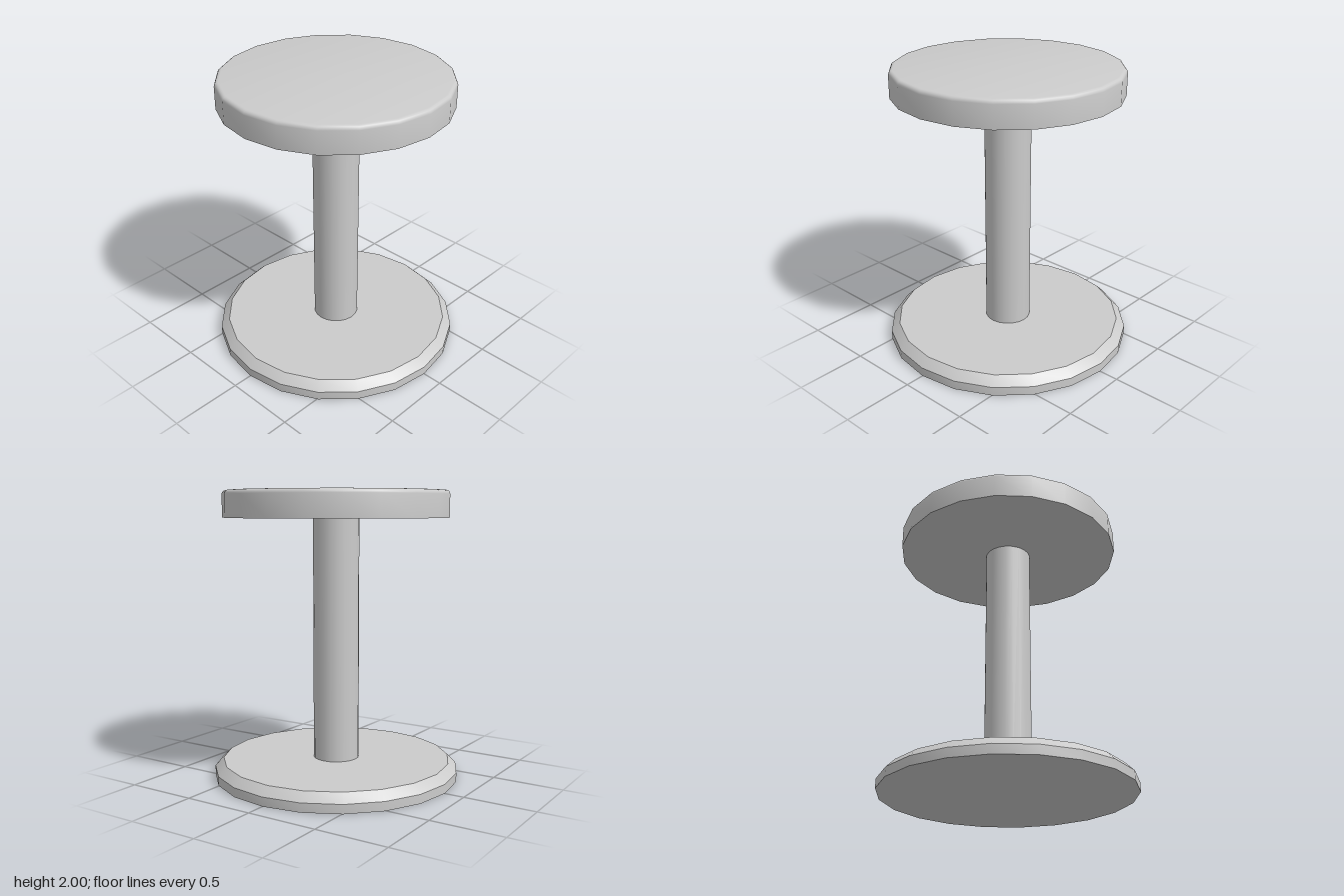
import * as THREE from 'three';
import { toCreasedNormals } from 'three/addons/utils/BufferGeometryUtils.js';

const SIDES = 20;
const material = new THREE.MeshStandardMaterial({ color: 0xcccccc });

// Turned part from a [radius, height] profile, listed bottom to top
function turned(name, profile) {
  const points = profile.map(([r, y]) => new THREE.Vector2(r, y));
  const geometry = toCreasedNormals(new THREE.LatheGeometry(points, SIDES), Math.PI / 6);
  const mesh = new THREE.Mesh(geometry, material);
  mesh.name = name;
  return mesh;
}

export function createModel() {
  const model = new THREE.Group();
  model.name = 'pedestalStool';

  // Floor disc with a chamfered upper rim
  model.add(turned('base', [[0, 0], [0.862, 0], [0.862, 0.063], [0.802, 0.122], [0, 0.122]]));

  // Central post
  const column = new THREE.Mesh(new THREE.CylinderGeometry(0.16, 0.16, 1.694, SIDES), material);
  column.name = 'column';
  column.position.y = 0.122 + 1.694 / 2;
  model.add(column);

  // Seat disc with a small rounded upper edge
  const radius = 0.783, fillet = 0.028, steps = 4;
  const seat = [[0, 1.816], [radius, 1.816]];
  for (let i = 0; i <= steps; i++) {
    const a = (i / steps) * Math.PI / 2;
    seat.push([radius - fillet * (1 - Math.cos(a)), 2 - fillet * (1 - Math.sin(a))]);
  }
  seat.push([0, 2]);
  model.add(turned('seat', seat));

  return model;
}
